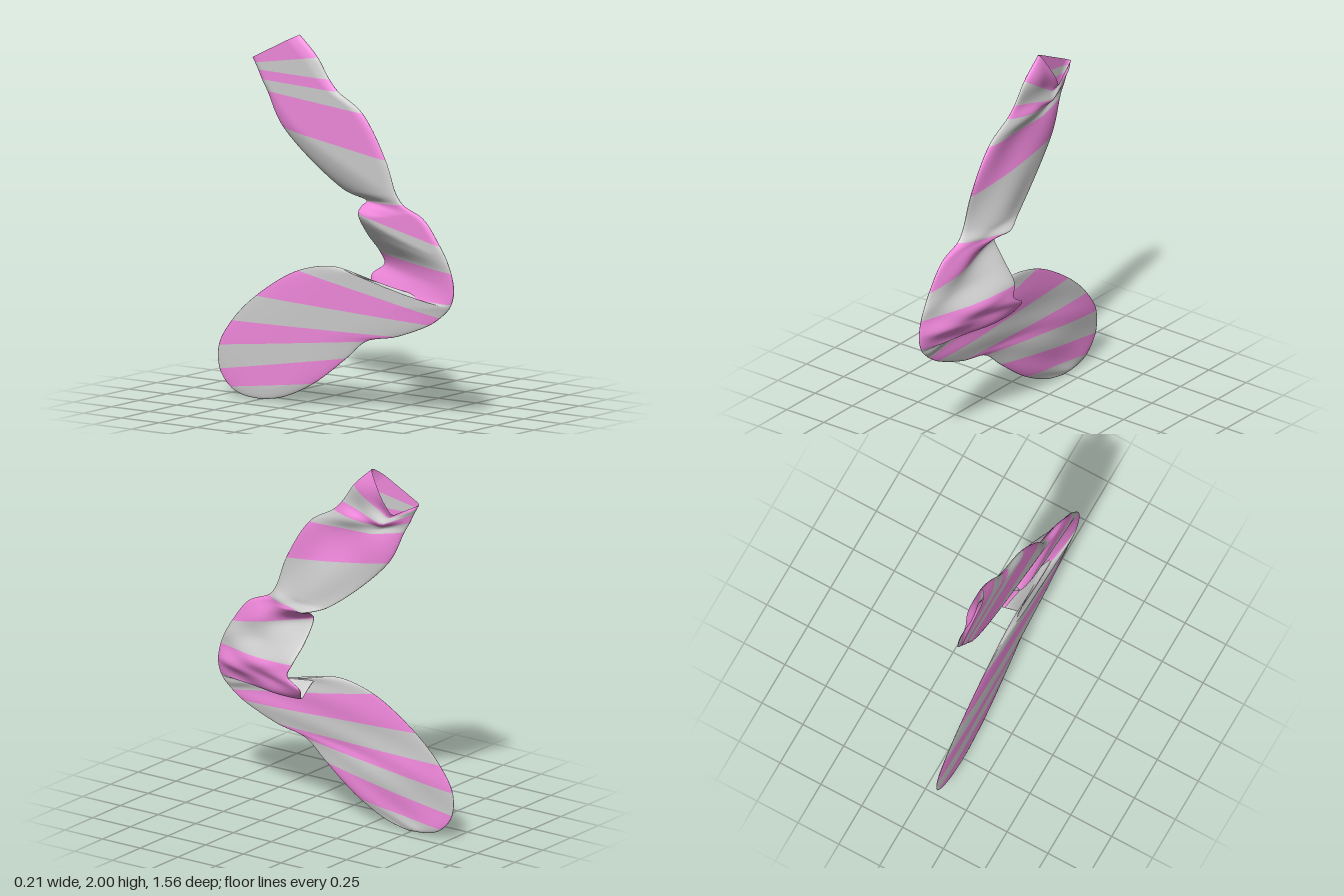
import * as THREE from 'three';

// Rows across the flattened sock, cuff to toe: [edge A z, y, edge B z, y]
const ROWS = [
  [-0.25, 2.00, -0.55, 1.85],
  [-0.13, 1.89, -0.535, 1.825],
  [-0.05, 1.78, -0.515, 1.79],
  [0.01, 1.72, -0.49, 1.74],
  [0.17, 1.62, -0.455, 1.68],
  [0.33, 1.38, -0.36, 1.49],
  [0.40, 1.20, 0.00, 1.18],
  [0.44, 1.15, 0.13, 1.13],
  [0.58, 1.085, 0.14, 1.11],
  [0.69, 0.95, 0.14, 1.075],
  [0.735, 0.875, 0.145, 0.96],
  [0.765, 0.81, 0.165, 0.85],
  [0.78, 0.74, 0.19, 0.785],
  [0.78, 0.69, 0.11, 0.72],
  [0.765, 0.64, 0.15, 0.645],
  [0.75, 0.615, 0.13, 0.73],
  [0.72, 0.585, 0.00, 0.77],
  [0.69, 0.56, -0.25, 0.725],
  [0.62, 0.515, -0.53, 0.56],
  [0.40, 0.43, -0.69, 0.41],
  [0.20, 0.385, -0.775, 0.27],
  [0.07, 0.28, -0.77, 0.14],
  [-0.15, 0.12, -0.70, 0.05],
  [-0.35, 0.028, -0.62, 0.014],
  [-0.49, 0.001, -0.49, 0.001],
];
// Stripe colour of the band after each row: p pink, g grey
const BANDS = 'pgpgpggppggpppgggpgpgpgg';

const SPANS = ROWS.length - 1;
const STEPS = 9;   // rings per row
const RING = 56;   // points around the tube

const bump = (u, centre, width, power) => Math.exp(-(Math.abs((u - centre) / width) ** power));

// Edge B lifts off the floor at the bottom of the leg and at the ankle
const liftB = (u) => -0.085 + 0.105 * bump(u, 6.8, 1.3, 2) + 0.182 * bump(u, 12.1, 2.2, 4);

// Half thickness: fuller leg, flat foot, closed toe
const thickness = (u) =>
  (0.033 - 0.017 * THREE.MathUtils.smoothstep(u, 13, 18)) *
  Math.min(1, Math.sqrt(Math.max(0, SPANS - u) / 2));

const edgeCurve = (o) => new THREE.CatmullRomCurve3(
  ROWS.map((r, u) => new THREE.Vector3(o ? liftB(u) : -0.085, r[o + 1], r[o])));

export function createModel() {
  const group = new THREE.Group();
  group.name = 'stripedSock';

  const rings = SPANS * STEPS;
  const edgeA = edgeCurve(0), edgeB = edgeCurve(2);

  const positions = [];
  for (let i = 0; i <= rings; i++) {
    const u = i / STEPS, h = thickness(u);
    const a = edgeA.getPoint(i / rings), b = edgeB.getPoint(i / rings);
    const cuff = Math.max(0, 1 - u / 5);
    a.x += 0.015 * cuff;
    for (let j = 0; j < RING; j++) {
      const angle = (j / RING) * Math.PI * 2;
      const t = (1 - Math.cos(angle)) / 2, s = Math.sin(angle);
      const p = a.clone().lerp(b, t);
      // soft wrinkles that die out at the folded edges
      const ripple = 1 + 0.28 * Math.sin(u * 2.1 + t * 5) + 0.15 * Math.sin(u * 3.3 - t * 8);
      p.x = Math.max(-0.1, p.x + h * s * (s > 0 ? ripple : 1));
      // upper rim of the opening sags away from the lower one
      if (s > 0) {
        const sag = 0.14 * cuff * (t < 0.7 ? t / 0.7 : (1 - t) / 0.3);
        p.z += 0.45 * sag;
        p.y -= 0.89 * sag;
      }
      positions.push(p.x, p.y, p.z);
    }
  }

  // one triangle list per stripe colour, plus a joint one for smooth normals
  const lists = { g: [], p: [] }, all = [];
  for (let i = 0; i < rings; i++) {
    const list = lists[BANDS[Math.floor(i / STEPS)]];
    for (let j = 0; j < RING; j++) {
      const p = i * RING + j, q = i * RING + ((j + 1) % RING);
      const quad = [p, p + RING, q, q, p + RING, q + RING];
      list.push(...quad);
      all.push(...quad);
    }
  }
  const whole = new THREE.BufferGeometry();
  whole.setAttribute('position', new THREE.Float32BufferAttribute(positions, 3));
  whole.setIndex(all);
  whole.computeVertexNormals();

  const addStripes = (name, list, color) => {
    const geometry = new THREE.BufferGeometry();
    geometry.setAttribute('position', whole.getAttribute('position'));
    geometry.setAttribute('normal', whole.getAttribute('normal'));
    geometry.setIndex(list);
    const mesh = new THREE.Mesh(geometry,
      new THREE.MeshStandardMaterial({ color, side: THREE.DoubleSide }));
    mesh.name = name;
    group.add(mesh);
  };
  addStripes('greyStripes', lists.g, 0xcccccc);
  addStripes('pinkStripes', lists.p, 0xf088dc);
  return group;
}
